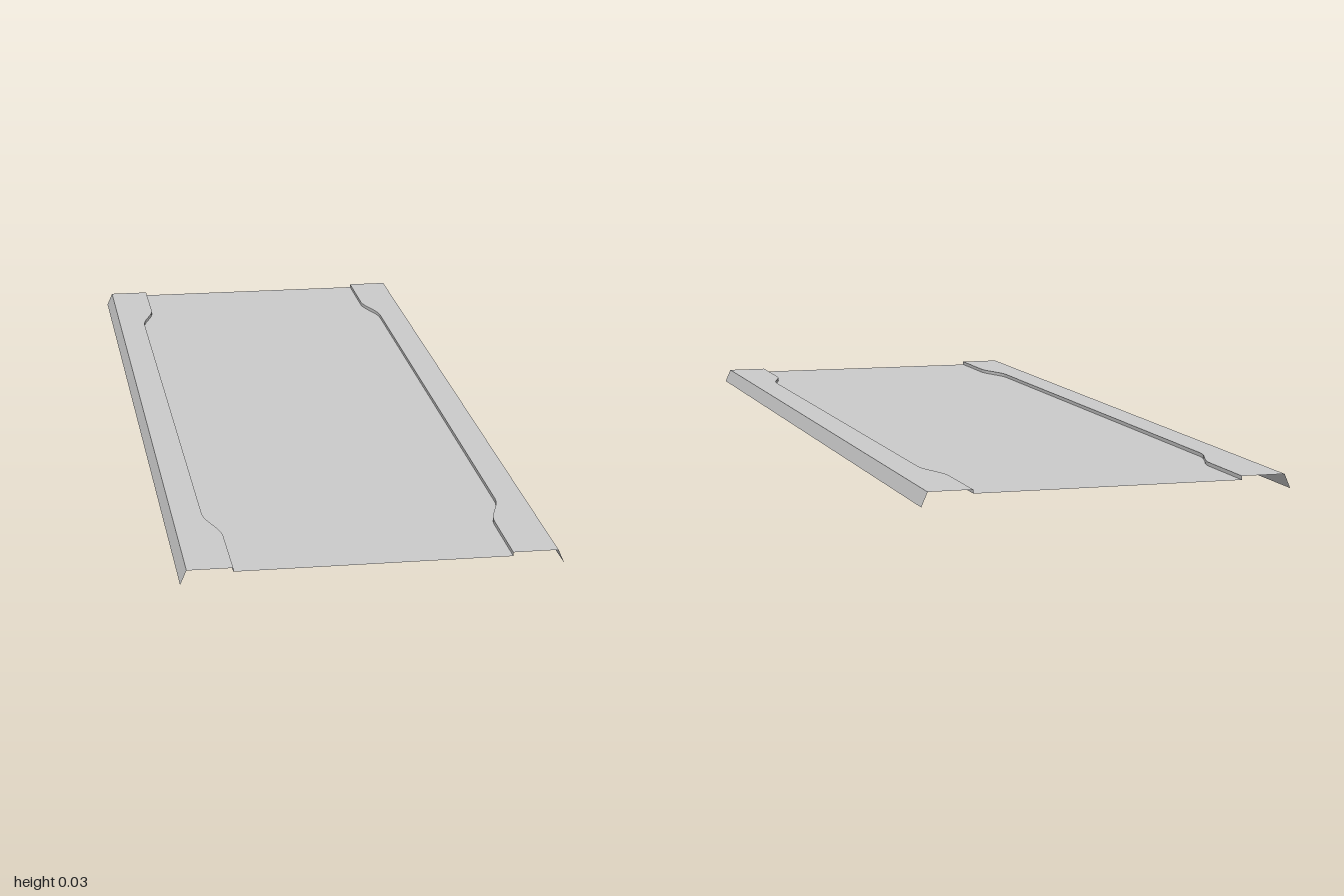
import * as THREE from 'three';

const TOP = 0.03, FLOOR = 0.022;

// Half-width of the recessed panel, narrowing in a soft S towards both ends
const stepX = (z) => 0.313 - 0.03 * THREE.MathUtils.smoothstep(Math.abs(z), 0.695, 0.825);

// Cross-section from the right edge (-x) to the left edge (+x)
function section(z) {
  const s = stepX(z);
  const half = [[0.389, 0], [0.376, TOP], [s, TOP], [s, FLOOR]];
  return [...half.map(([x, y]) => [-x, y, z]), ...half.reverse().map(([x, y]) => [x, y, z])];
}

// Ribbon along z between neighbouring section points k and k + 1
function ribbon(name, sections, k, material) {
  const index = [];
  for (let i = 0; i < sections.length - 1; i++) {
    const a = 2 * i;
    index.push(a, a + 2, a + 1, a + 1, a + 2, a + 3);
  }
  const geometry = new THREE.BufferGeometry();
  const points = sections.flatMap((p) => [...p[k], ...p[k + 1]]);
  geometry.setAttribute('position', new THREE.Float32BufferAttribute(points, 3));
  geometry.setIndex(index);
  geometry.computeVertexNormals();
  const mesh = new THREE.Mesh(geometry, material);
  mesh.name = name;
  return mesh;
}

export function createModel() {
  const group = new THREE.Group();
  group.name = 'sheetPanel';
  const material = new THREE.MeshStandardMaterial({ color: 0xcccccc, side: THREE.DoubleSide });

  // Stations along the length, dense only through the S-bends
  const bend = Array.from({ length: 11 }, (_, i) => 0.695 + 0.013 * i);
  const stations = [-1, ...bend.map((z) => -z).reverse(), ...bend, 1];
  const sections = stations.map(section);

  const names = ['rightFlange', 'rightRim', 'rightStep', 'centrePanel', 'leftStep', 'leftRim', 'leftFlange'];
  names.forEach((name, k) => group.add(ribbon(name, sections, k, material)));
  return group;
}
